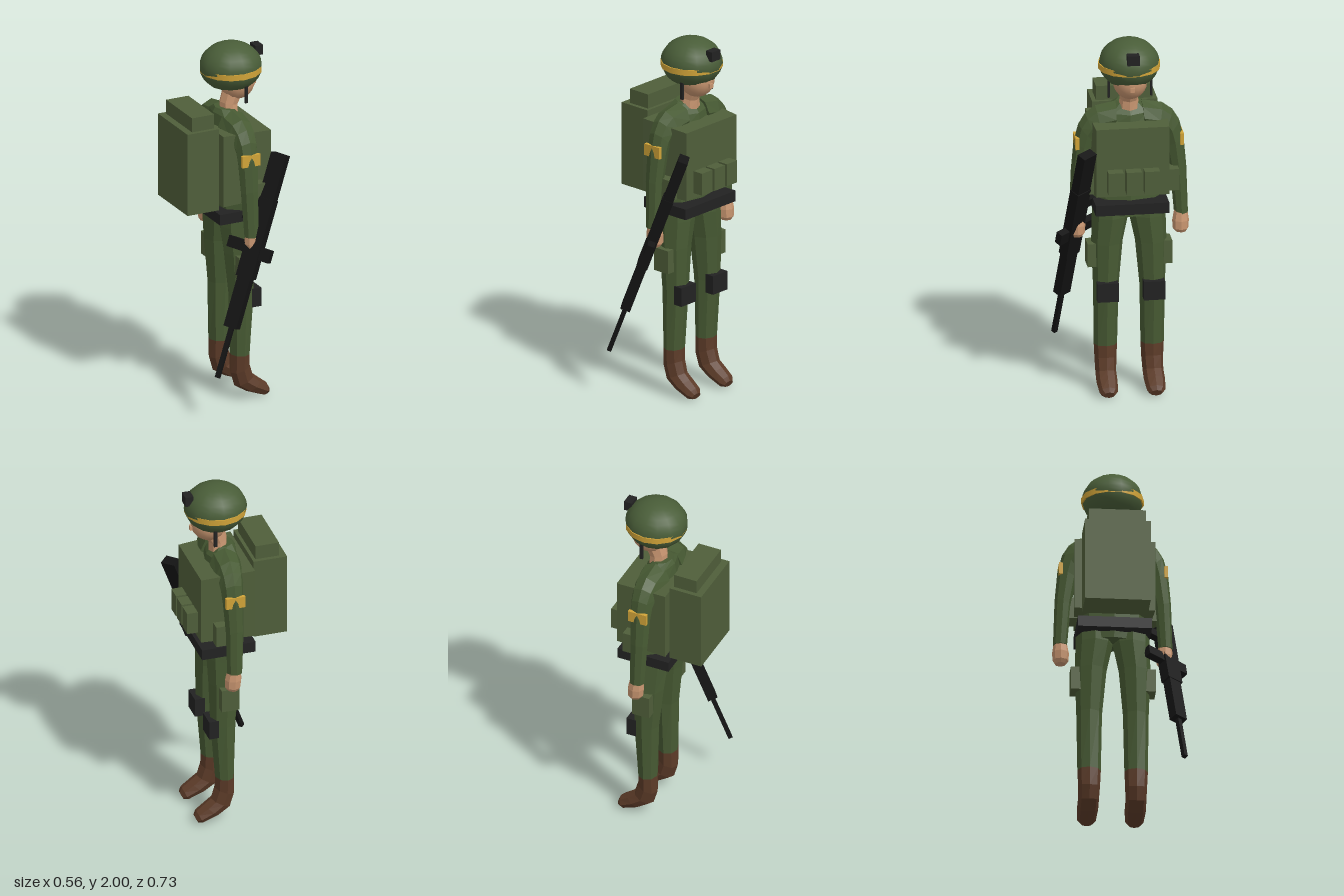
import * as THREE from 'three';

const paint = (name, color) => Object.assign(new THREE.MeshStandardMaterial({ color }), { name });

export function createModel() {
  const uniform = paint('uniform green', 0x475a33);
  const gear = paint('webbing green', 0x4f5e3a);
  const helmetGreen = paint('helmet green', 0x495d38);
  const skin = paint('skin', 0xc6946f);
  const leather = paint('boot leather', 0x5c3b28);
  const black = paint('black webbing', 0x222222);
  const gunmetal = paint('gunmetal', 0x141414);
  const gold = paint('gold', 0xd0a338);

  const root = new THREE.Group();
  root.name = 'soldier';
  const body = new THREE.Group();
  body.name = 'body';
  body.position.z = -0.04;
  root.add(body);

  const add = (name, geo, mat, parent = body) => {
    const m = new THREE.Mesh(geo, mat);
    m.name = name;
    parent.add(m);
    return m;
  };

  // Box given by its x, y and z ranges
  const box = (name, mat, x0, x1, y0, y1, z0, z1, parent = body) => {
    const g = new THREE.BoxGeometry(x1 - x0, y1 - y0, z1 - z0);
    g.translate((x0 + x1) / 2, (y0 + y1) / 2, (z0 + z1) / 2);
    return add(name, g, mat, parent);
  };

  // Faceted closed tube through elliptical rings [centre, axisA, axisB], advancing along A x B
  const loft = (name, mat, rings, sides = 8) => {
    const pos = [];
    const index = [];
    for (const [c, a, b] of rings) {
      for (let j = 0; j < sides; j++) {
        const t = (j / sides) * Math.PI * 2;
        const p = c.clone().addScaledVector(a, Math.cos(t)).addScaledVector(b, Math.sin(t));
        pos.push(p.x, p.y, p.z);
      }
    }
    const last = rings.length - 1;
    const c0 = rings.length * sides;
    pos.push(...rings[0][0].toArray(), ...rings[last][0].toArray());
    for (let j = 0; j < sides; j++) {
      const k = (j + 1) % sides;
      for (let i = 0; i < last; i++) {
        const p = i * sides;
        const q = p + sides;
        index.push(p + j, p + k, q + k, p + j, q + k, q + j);
      }
      index.push(c0, k, j, c0 + 1, last * sides + j, last * sides + k);
    }
    const g = new THREE.BufferGeometry();
    g.setAttribute('position', new THREE.Float32BufferAttribute(pos, 3));
    g.setIndex(index);
    const flat = g.toNonIndexed();
    flat.computeVertexNormals();
    return add(name, flat, mat);
  };
  const V = (x, y, z) => new THREE.Vector3(x, y, z);
  // Ring from its rear point to its front point, with half width across
  const sideRing = ([ax, ay, bx, by, z, hw]) =>
    [V((ax + bx) / 2, (ay + by) / 2, z), V((bx - ax) / 2, (by - ay) / 2, 0), V(0, 0, hw)];
  // Ring from its inner point to its outer point, with half depth
  const armRing = (s) => ([zi, yi, zo, yo, x, hx]) =>
    [V(x, (yi + yo) / 2, s * (zi + zo) / 2), V(0, (yo - yi) / 2, s * (zo - zi) / 2), V(-s * hx, 0, 0)];

  // Torso and neck
  loft('torso', uniform, [
    [-0.03, 1.645, 0.075, 1.635, 0, 0.065],
    [-0.045, 1.62, 0.115, 1.58, 0, 0.13],
    [-0.06, 1.52, 0.13, 1.5, 0, 0.2],
    [-0.07, 1.3, 0.13, 1.3, 0, 0.185],
    [-0.06, 1.1, 0.14, 1.1, 0, 0.19],
    [-0.05, 1.01, 0.14, 1.01, 0, 0.19],
  ].map(sideRing));
  loft('neck', skin, [
    [0.02, 1.75, 0.14, 1.73, 0, 0.052],
    [0.0, 1.67, 0.1, 1.65, 0, 0.05],
    [0.0, 1.6, 0.1, 1.59, 0, 0.06],
  ].map(sideRing));

  // Head
  const head = add('head', new THREE.SphereGeometry(1, 16, 12), skin);
  head.scale.set(0.1, 0.102, 0.093);
  head.position.set(0.1, 1.777, 0);
  box('nose', skin, 0.185, 0.208, 1.745, 1.77, -0.012, 0.012);

  // Helmet with its underside, band, mount and chin straps
  const helmet = new THREE.Group();
  helmet.name = 'helmet';
  helmet.position.set(0.063, 1.865, 0);
  body.add(helmet);
  const cut = 0.76 * Math.PI;
  const dome = new THREE.SphereGeometry(1, 14, 12, 0, Math.PI * 2, 0, cut);
  dome.rotateY(Math.PI / 2);
  dome.scale(0.17, 0.135, 0.163);
  add('helmetShell', dome, helmetGreen, helmet);
  const under = new THREE.CircleGeometry(Math.sin(cut), 14);
  under.rotateX(Math.PI / 2);
  under.rotateY(Math.PI / 2);
  under.scale(0.17, 1, 0.163);
  under.translate(0, 0.135 * Math.cos(cut), 0);
  add('helmetUnderside', under, helmetGreen, helmet);
  const band = add('helmetBand', new THREE.CylinderGeometry(0.168, 0.168, 0.032, 14), gold, helmet);
  band.position.y = -0.009;
  band.scale.x = 0.995;
  box('helmetMount', black, 0.195, 0.24, 1.91, 1.965, -0.033, 0.033);

  // Vest, slightly larger at the back
  const vest = new THREE.BoxGeometry(0.295, 0.385, 0.394);
  const vp = vest.attributes.position;
  for (let i = 0; i < vp.count; i++) {
    if (vp.getX(i) > 0) continue;
    vp.setZ(i, vp.getZ(i) * 1.1);
    if (vp.getY(i) > 0) vp.setY(i, vp.getY(i) + 0.018);
  }
  vest.computeVertexNormals();
  vest.translate(0.0575, 1.3475, 0);
  add('vest', vest, gear);
  for (const z of [-0.098, 0, 0.098]) {
    box('chestPouch', gear, 0.19, 0.265, 1.185, 1.31, z - 0.041, z + 0.041);
  }
  box('belt', black, -0.1, 0.2, 1.045, 1.105, -0.198, 0.198);

  // Backpack and bedroll
  box('backpack', gear, -0.283, -0.095, 1.125, 1.59, -0.176, 0.176);
  box('bedroll', gear, -0.245, -0.113, 1.58, 1.67, -0.153, 0.153);

  // Paired parts
  for (const s of [-1, 1]) {
    const pair = (name, mat, x0, x1, y0, y1, z0, z1) =>
      box(name, mat, x0, x1, y0, y1, Math.min(s * z0, s * z1), Math.max(s * z0, s * z1));
    const leg = ([ax, ay, bx, by, z, hw]) => sideRing([ax, ay, bx, by, s * z, hw]);

    loft('sleeve', uniform, [
      [0.08, 1.48, 0.07, 1.64, 0.035, 0.085],
      [0.15, 1.46, 0.18, 1.62, 0.038, 0.075],
      [0.175, 1.44, 0.235, 1.58, 0.04, 0.068],
      [0.185, 1.42, 0.272, 1.52, 0.042, 0.062],
      [0.195, 1.38, 0.297, 1.42, 0.042, 0.057],
      [0.225, 1.22, 0.312, 1.25, 0.04, 0.05],
      [0.245, 0.99, 0.32, 0.99, 0.045, 0.042],
    ].map(armRing(s)));
    loft('hand', skin, [
      [0.248, 1.02, 0.314, 1.02, 0.047, 0.033],
      [0.234, 0.95, 0.324, 0.95, 0.052, 0.046],
      [0.236, 0.905, 0.322, 0.905, 0.055, 0.044],
      [0.25, 0.886, 0.31, 0.886, 0.055, 0.03],
    ].map(armRing(s)));
    pair('sleevePatch', gold, -0.013, 0.095, 1.39, 1.455, 0.272, 0.292);

    loft('trouserLeg', uniform, [
      [-0.05, 1.08, 0.14, 1.08, 0.1, 0.097],
      [-0.05, 1.0, 0.145, 1.0, 0.1, 0.099],
      [-0.035, 0.85, 0.14, 0.85, 0.118, 0.085],
      [-0.01, 0.6, 0.132, 0.6, 0.125, 0.069],
      [0.0, 0.265, 0.105, 0.265, 0.126, 0.063],
    ].map(leg));
    loft('boot', leather, [
      [0.0, 0.265, 0.105, 0.265, 0.126, 0.063],
      [-0.002, 0.16, 0.108, 0.2, 0.126, 0.059],
      [0.02, 0.085, 0.128, 0.135, 0.127, 0.056],
      [0.09, 0.04, 0.165, 0.105, 0.128, 0.057],
      [0.18, 0.005, 0.21, 0.07, 0.128, 0.05],
      [0.205, 0.008, 0.222, 0.045, 0.128, 0.032],
    ].map(leg));

    pair('kneePad', black, 0.1, 0.155, 0.535, 0.64, 0.068, 0.182);
    pair('thighPouch', gear, 0.0, 0.1, 0.72, 0.85, 0.17, 0.228);
    pair('sidePouch', gear, 0.03, 0.14, 1.15, 1.27, 0.18, 0.26);
    pair('chinStrap', black, 0.09, 0.107, 1.685, 1.8, 0.109, 0.12);
  }

  // Rifle, built along its own y axis from the muzzle, x being its height
  const rifle = new THREE.Group();
  rifle.name = 'rifle';
  const d = V(0.435, 1.165, -0.115).normalize();
  const u = V(0.57, -0.132, 0.81);
  u.addScaledVector(d, -u.dot(d)).normalize();
  rifle.quaternion.setFromRotationMatrix(new THREE.Matrix4().makeBasis(u, d, u.clone().cross(d)));
  rifle.position.set(-0.2, 0.25, 0.325);
  root.add(rifle);
  const part = (name, x0, x1, y0, y1, hz) => box(name, gunmetal, x0, x1, y0, y1, -hz, hz, rifle);
  part('barrel', -0.012, 0.012, 0, 0.3, 0.012);
  part('handguard', -0.038, 0.038, 0.28, 0.62, 0.027);
  part('receiver', -0.048, 0.048, 0.56, 1.0, 0.031);
  part('stock', -0.045, 0.045, 0.95, 1.25, 0.0275);
  part('magazine', -0.15, -0.04, 0.69, 0.75, 0.02);
  part('grip', -0.11, -0.04, 0.86, 0.91, 0.018);
  part('sight', 0.04, 0.108, 0.67, 0.74, 0.02);

  return root;
}
